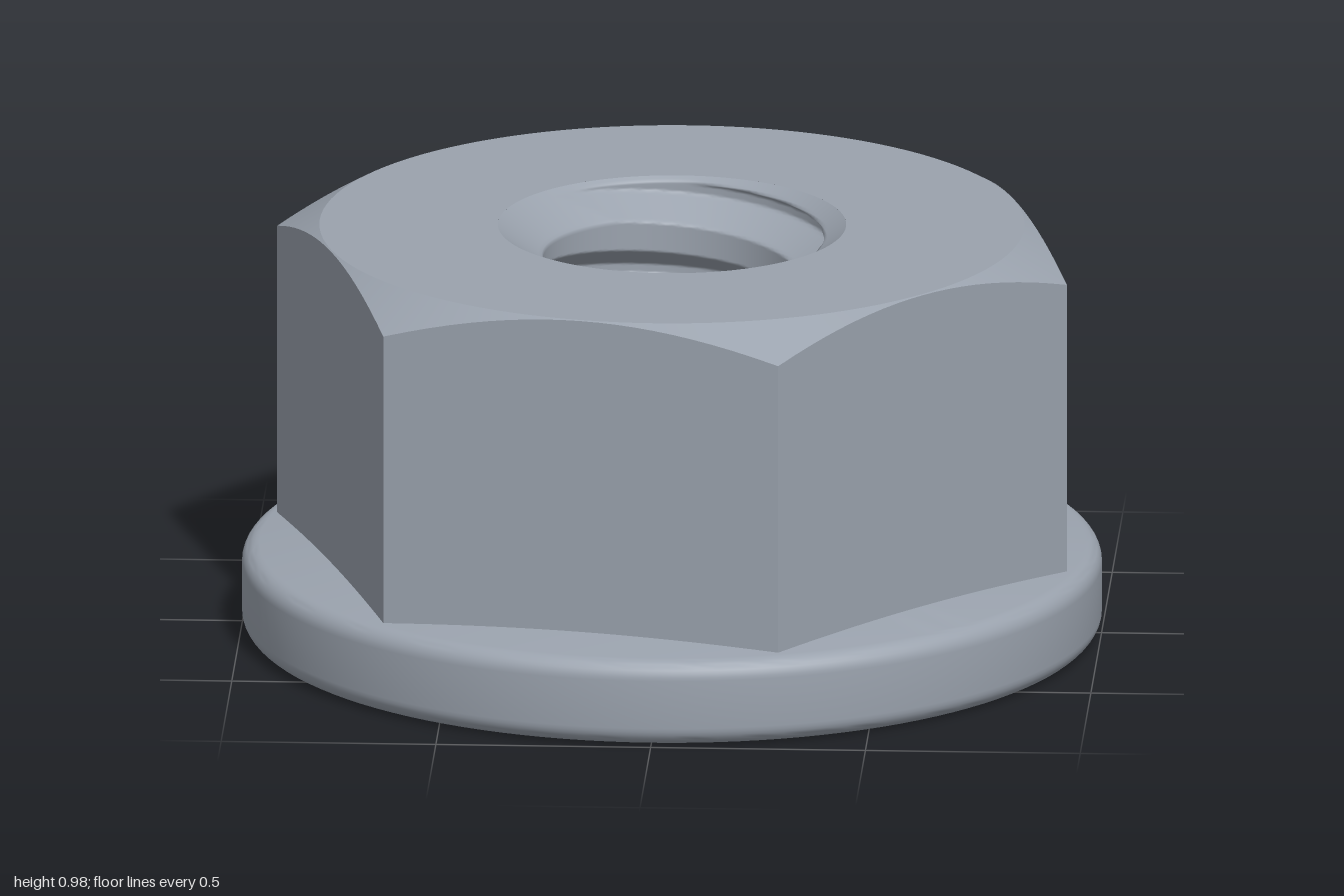
import * as THREE from 'three';
import { toCreasedNormals } from 'three/addons/utils/BufferGeometryUtils.js';

const HEIGHT = 0.975, FLANGE_TOP = 0.2;
const APOTHEM = 0.823, HEX_TURN = THREE.MathUtils.degToRad(12.1);
const BORE = 0.3, THREAD_ROOT = 0.39, PITCH = 0.2;
const SINK = 0.405, SINK_SLOPE = 0.7;

// Skin a stack of closed rings; ring(i, angle) returns [radius, y].
function skin(ringCount, columns, start, ring) {
  const position = [], index = [];
  for (let i = 0; i < ringCount; i++) {
    for (let j = 0; j < columns; j++) {
      const a = start + (j / columns) * Math.PI * 2;
      const [r, y] = ring(i, a);
      position.push(r * Math.cos(a), y, r * Math.sin(a));
      if (i === ringCount - 1) continue;
      const k = (j + 1) % columns, p = i * columns, q = p + columns;
      index.push(p + j, q + j, q + k, p + j, q + k, p + k);
    }
  }
  const geometry = new THREE.BufferGeometry();
  geometry.setAttribute('position', new THREE.Float32BufferAttribute(position, 3));
  geometry.setIndex(index);
  geometry.computeVertexNormals();
  return geometry;
}

// Distance from the axis to the hexagon's side at an angle.
function hexRadius(a) {
  const sector = Math.PI / 3;
  const t = (((a - HEX_TURN) % sector) + sector) % sector;
  return APOTHEM / Math.cos(t - sector / 2);
}

// Hexagon walls, conical corner chamfer and flat top around the hole.
function hexGeometry() {
  const g = skin(4, 120, HEX_TURN, (i, a) => {
    const r = hexRadius(a);
    if (i === 0) return [r, FLANGE_TOP];
    if (i === 1) return [r, HEIGHT - (r - APOTHEM + 0.003) * 0.577];
    return [i === 2 ? APOTHEM - 0.003 : SINK, HEIGHT];
  });
  return toCreasedNormals(g, 0.35);
}

// Washer flange with rounded rim and slightly conical top.
function flangeGeometry() {
  const points = [new THREE.Vector2(SINK, 0)];
  const fillet = (x, y, r, from, to) => {
    for (let i = 0; i <= 8; i++) {
      const a = from + ((to - from) * i) / 8;
      points.push(new THREE.Vector2(x + r * Math.cos(a), y + r * Math.sin(a)));
    }
  };
  fillet(0.955, 0.045, 0.045, -Math.PI / 2, 0);
  fillet(0.955, 0.16, 0.045, 0, Math.PI / 2 - 0.1);
  points.push(new THREE.Vector2(0.72, 0.232));
  return toCreasedNormals(new THREE.LatheGeometry(points, 120), 0.5);
}

// Right-handed threaded bore, countersunk at both ends.
function boreGeometry() {
  const rows = 190;
  return skin(rows + 1, 128, 0, (i, a) => {
    const y = HEIGHT * (1 - i / rows);
    const turn = (-a - Math.PI / 2) / (Math.PI * 2);
    const phase = (y - 0.95) / PITCH - turn;
    const off = Math.abs(phase - Math.round(phase)) * PITCH;
    const thread = THREE.MathUtils.clamp(THREAD_ROOT - (off - 0.012) / 0.58, BORE, THREAD_ROOT);
    const sink = SINK - Math.min(y, HEIGHT - y) / SINK_SLOPE;
    return [Math.max(thread, sink), y];
  });
}

export function createModel() {
  const steel = new THREE.MeshStandardMaterial({ color: 0x9aa2ad });
  steel.name = 'steel';
  const model = new THREE.Group();
  model.name = 'flangeNut';
  const parts = { hexBody: hexGeometry(), flange: flangeGeometry(), threadedBore: boreGeometry() };
  for (const [name, geometry] of Object.entries(parts)) {
    const mesh = new THREE.Mesh(geometry, steel);
    mesh.name = name;
    model.add(mesh);
  }
  return model;
}
